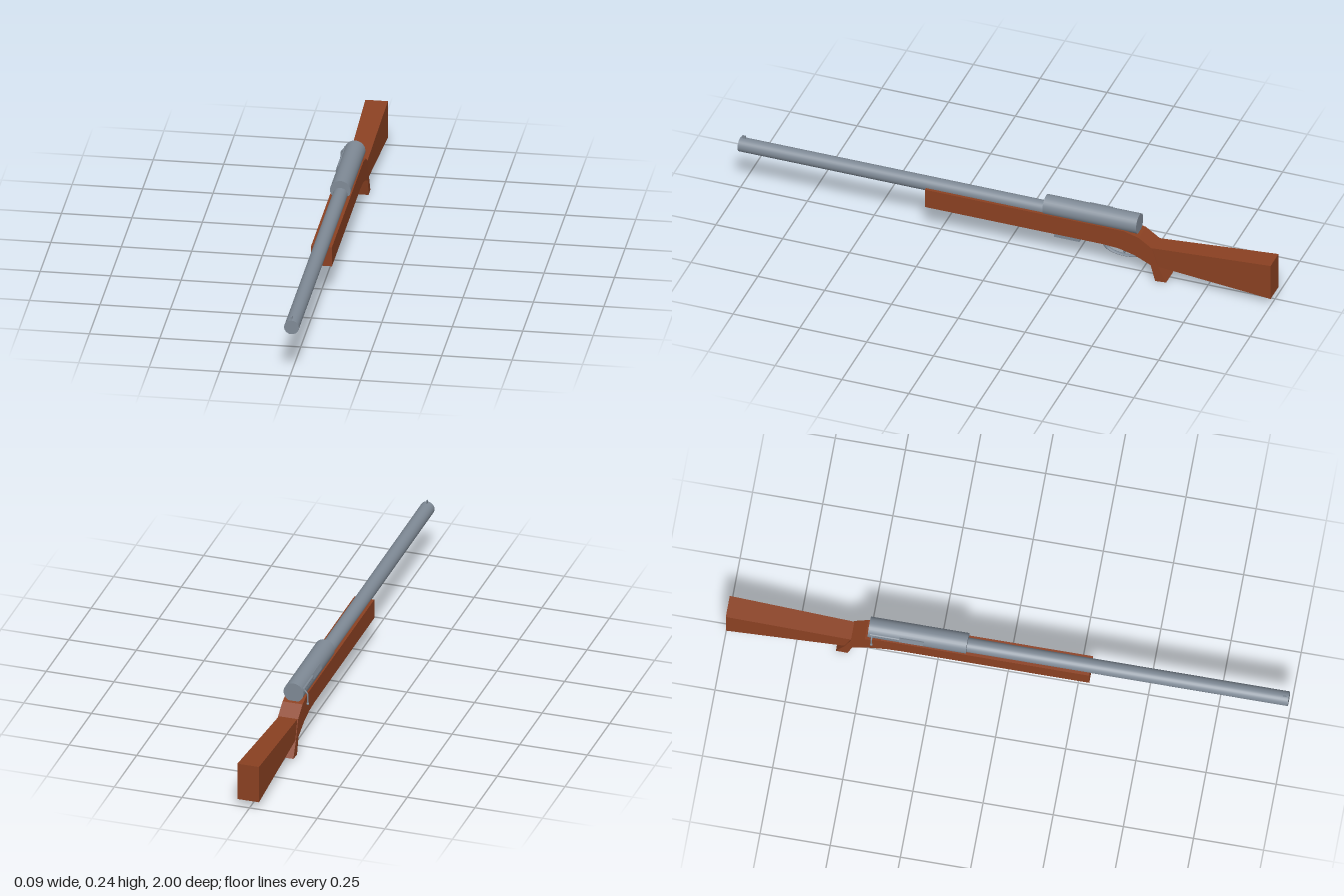
import * as THREE from 'three';

const CX = 0.005; // centre line of stock and barrel

export function createModel() {
  const model = new THREE.Group();
  const wood = new THREE.MeshStandardMaterial({ color: 0x8b4122 });
  const steel = new THREE.MeshStandardMaterial({ color: 0x7f8a96 });
  wood.name = 'wood';
  steel.name = 'steel';

  function add(name, geometry, material, x = 0, y = 0, z = 0) {
    const mesh = new THREE.Mesh(geometry, material);
    mesh.name = name;
    mesh.position.set(x, y, z);
    model.add(mesh);
    return mesh;
  }
  // Cylinder along z between two depths
  function rod(name, radius, z0, z1, x, y, sides = 32) {
    const g = new THREE.CylinderGeometry(radius, radius, z1 - z0, sides).rotateX(Math.PI / 2);
    return add(name, g, steel, x, y, (z0 + z1) / 2);
  }
  // Side profile given as [z, y], extruded across x
  function slab(name, points, width, material) {
    const shape = new THREE.Shape(points.map(([z, y]) => new THREE.Vector2(z, y)));
    const g = new THREE.ExtrudeGeometry(shape, { depth: width, bevelEnabled: false });
    g.rotateY(-Math.PI / 2);
    return add(name, g, material, CX + width / 2);
  }

  // Fore-end, wrist and grip
  slab('stock', [
    [0.295, 0.183], [0.295, 0.11], [-0.37, 0.11], [-0.43, 0.106], [-0.49, 0.091],
    [-0.55, 0.063], [-0.567, 0], [-0.608, 0.003], [-0.578, 0.063], [-0.555, 0.134],
    [-0.505, 0.168], [-0.45, 0.183],
  ], 0.074, wood);

  // Butt: a box flaring towards the rear
  const butt = new THREE.BoxGeometry(1, 1, 1);
  const p = butt.attributes.position;
  for (let i = 0; i < p.count; i++) {
    const rear = p.getZ(i) < 0, top = p.getY(i) > 0;
    p.setXYZ(i,
      CX + Math.sign(p.getX(i)) * (rear ? 0.04 : 0.034),
      rear ? (top ? 0.168 : 0.028) : (top ? 0.134 : 0.063),
      rear ? -1 : -0.553);
  }
  butt.computeVertexNormals();
  add('butt', butt, wood);

  // Barrel, receiver and front sight
  rod('barrel', 0.0262, -0.2, 1, CX, 0.187);
  rod('receiver', 0.0366, -0.495, -0.145, CX, 0.203);
  add('frontSight', new THREE.BoxGeometry(0.004, 0.018, 0.012), steel, 0.003, 0.215, 0.986);

  // Magazine
  add('magazine', new THREE.BoxGeometry(0.024, 0.05, 0.095), steel, 0.008, 0.107, -0.228);

  // Trigger guard: flattened ring
  const guard = new THREE.TorusGeometry(0.07, 0.0085, 10, 40);
  guard.rotateY(Math.PI / 2).scale(0.9, 0.43, 1);
  add('triggerGuard', guard, steel, CX, 0.088, -0.438);

  // Trigger
  const trigger = new THREE.CatmullRomCurve3([
    new THREE.Vector3(CX, 0.112, -0.452),
    new THREE.Vector3(CX, 0.088, -0.448),
    new THREE.Vector3(CX, 0.067, -0.436),
  ]);
  add('trigger', new THREE.TubeGeometry(trigger, 8, 0.004, 8), steel);

  // Ejection port cover and bolt on the right side
  const port = add('portCover', new THREE.BoxGeometry(0.008, 0.02, 0.085), steel, -0.028, 0.216, -0.34);
  port.rotation.z = -0.36;
  rod('bolt', 0.0055, -0.487, -0.38, -0.027, 0.216, 12);

  // Bolt handle, bent down to a small knob
  const handle = new THREE.CurvePath();
  const bend = [[-0.024, 0.219], [-0.042, 0.2], [-0.043, 0.161]]
    .map(([x, y]) => new THREE.Vector3(x, y, -0.48));
  handle.add(new THREE.LineCurve3(bend[0], bend[1]));
  handle.add(new THREE.LineCurve3(bend[1], bend[2]));
  add('boltHandle', new THREE.TubeGeometry(handle, 12, 0.003, 8), steel);
  add('boltKnob', new THREE.SphereGeometry(0.0052, 12, 8), steel, -0.043, 0.16, -0.48);

  return model;
}
